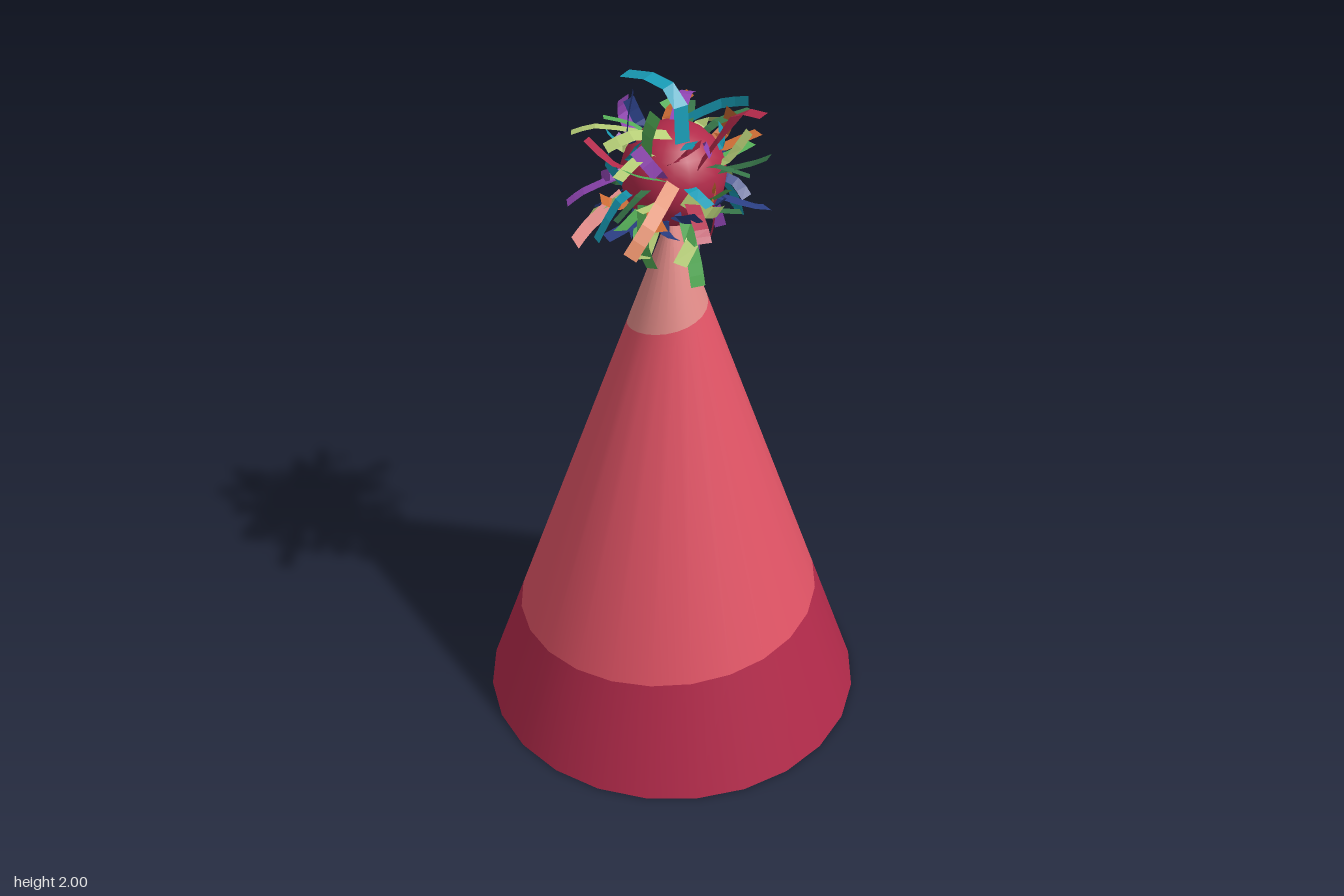
import * as THREE from 'three';

const SIDES = 24, RADIUS = 0.547, APEX = 1.63, INNER = 0.51, INNER_APEX = 1.525;
const SEAM = Math.PI / 12; // spiral seam, just beside the back
const BALL = new THREE.Vector3(0.005, 1.73, 0), BALL_R = 0.138;

function makeMaterials() {
  const colors = {
    crimson: 0xb22a4a, coral: 0xe05365, blush: 0xe28b88, teal: 0x189cb6, green: 0x56b058,
    darkGreen: 0x38784a, lime: 0xb8d078, orange: 0xcc6c34, purple: 0x9346b6, navy: 0x2b3f84,
  };
  const mats = {};
  for (const [name, color] of Object.entries(colors)) {
    mats[name] = new THREE.MeshStandardMaterial({ color, side: THREE.DoubleSide });
    mats[name].name = name;
  }
  return mats;
}

// Cone band between two spiral heights given as functions of the turn t (0..1)
function bandGeometry(radius, apex, low, high, inward) {
  const pos = [], nor = [], idx = [];
  const len = Math.hypot(apex, radius), s = inward ? -1 : 1;
  for (let i = 0; i <= SIDES; i++) {
    const t = i / SIDES, a = SEAM + t * Math.PI * 2;
    const x = -Math.sin(a), z = -Math.cos(a);
    for (const y of [low(t), high(t)]) {
      const r = radius * (1 - y / apex);
      pos.push(x * r, y, z * r);
      nor.push(s * x * apex / len, s * radius / len, s * z * apex / len);
    }
    if (i < SIDES) {
      const k = i * 2;
      if (inward) idx.push(k, k + 3, k + 2, k, k + 1, k + 3);
      else idx.push(k, k + 2, k + 3, k, k + 3, k + 1);
    }
  }
  const g = new THREE.BufferGeometry();
  g.setAttribute('position', new THREE.Float32BufferAttribute(pos, 3));
  g.setAttribute('normal', new THREE.Float32BufferAttribute(nor, 3));
  g.setIndex(idx);
  return g;
}

// Flat strip following a bent path; strips standing off the ball lie level, others hug it
function ribbonGeometry(points, width, twist) {
  const curve = new THREE.CatmullRomCurve3(points);
  const chord = points[points.length - 1].clone().sub(points[0]).normalize();
  const standing = Math.abs(points[0].clone().sub(BALL).normalize().dot(chord)) > 0.7 && Math.abs(chord.y) < 0.85;
  const n = 4, pos = [], idx = [], last = new THREE.Vector3();
  for (let i = 0; i <= n; i++) {
    const p = curve.getPoint(i / n), tan = curve.getTangent(i / n);
    const ref = standing ? new THREE.Vector3(0, 1, 0) : p.clone().sub(BALL).normalize();
    if (Math.abs(ref.dot(tan)) > 0.95) ref.set(0.5, 0.1, 0.85);
    const side = new THREE.Vector3().crossVectors(tan, ref).normalize()
      .applyAxisAngle(tan, twist).multiplyScalar(width / 2);
    if (last.dot(side) < 0) side.negate(); // keeps the strip from flipping
    last.copy(side);
    pos.push(p.x - side.x, p.y - side.y, p.z - side.z, p.x + side.x, p.y + side.y, p.z + side.z);
    if (i < n) idx.push(i * 2, i * 2 + 1, i * 2 + 3, i * 2, i * 2 + 3, i * 2 + 2);
  }
  const g = new THREE.BufferGeometry();
  g.setAttribute('position', new THREE.Float32BufferAttribute(pos, 3));
  g.setIndex(idx);
  const flat = g.toNonIndexed();
  flat.computeVertexNormals();
  return flat;
}

export function createModel() {
  const model = new THREE.Group();
  model.name = 'partyHat';
  const mats = makeMaterials();
  const add = (parent, name, geometry, material) => {
    const mesh = new THREE.Mesh(geometry, material);
    mesh.name = name;
    parent.add(mesh);
    return mesh;
  };

  // Hollow cone with three spiral colour bands
  const lower = t => 0.235 + 0.165 * t, upper = t => 1.21 + 0.155 * t;
  for (const [prefix, r, apex, inward] of [['outer', RADIUS, APEX, false], ['inner', INNER, INNER_APEX, true]]) {
    const cone = new THREE.Group();
    cone.name = prefix + 'Cone';
    model.add(cone);
    add(cone, prefix + 'LowerBand', bandGeometry(r, apex, () => 0, lower, inward), mats.crimson);
    add(cone, prefix + 'MiddleBand', bandGeometry(r, apex, lower, upper, inward), mats.coral);
    add(cone, prefix + 'TipBand', bandGeometry(r, apex, upper, () => apex, inward), mats.blush);
  }
  add(model, 'rim', new THREE.RingGeometry(INNER, RADIUS, SIDES).rotateX(Math.PI / 2), mats.crimson);

  // Pompom ball
  add(model, 'pompomBall', new THREE.SphereGeometry(BALL_R, 20, 14), mats.crimson).position.copy(BALL);

  // Long ribbons: colour, root and tip
  const ribbons = new THREE.Group();
  ribbons.name = 'ribbons';
  model.add(ribbons);
  const long = [
    ['lime', 0.03, 1.86, 0.03, -0.01, 1.86, 0.20],
    ['lime', -0.06, 1.84, 0.06, -0.16, 1.84, 0.20],
    ['blush', -0.08, 1.66, 0.10, -0.04, 1.60, 0.28],
    ['orange', 0.11, 1.77, 0.08, 0.17, 1.65, 0.26],
    ['green', 0.09, 1.78, 0.10, 0.13, 1.87, 0.24],
    ['crimson', 0.13, 1.72, 0.04, 0.24, 1.66, 0.08],
    ['darkGreen', 0.11, 1.76, -0.06, 0.23, 1.83, -0.13],
    ['orange', -0.03, 1.72, -0.13, -0.03, 1.73, -0.31],
    ['teal', -0.11, 1.79, -0.12, -0.05, 1.82, -0.29],
    ['purple', -0.02, 1.86, -0.03, -0.10, 1.88, -0.13],
    ['darkGreen', -0.08, 1.78, -0.10, -0.18, 1.80, -0.19],
    ['purple', -0.08, 1.72, 0.10, -0.16, 1.64, 0.22],
    ['green', 0.04, 1.80, 0.11, 0.09, 1.97, 0.12],
    ['purple', 0.02, 1.62, -0.05, 0.05, 1.47, -0.03],
    ['green', 0.11, 1.66, 0.04, 0.19, 1.50, 0.06],
    ['navy', -0.09, 1.64, 0.04, -0.13, 1.49, 0.03],
    ['teal', 0.00, 1.70, -0.13, 0.02, 1.54, -0.21],
    ['green', 0.05, 1.70, 0.13, 0.10, 1.54, 0.14],
    ['lime', 0.13, 1.73, 0.06, 0.14, 1.66, -0.05],
    ['teal', -0.02, 1.74, 0.14, -0.12, 1.79, 0.10],
    ['navy', -0.10, 1.66, 0.08, -0.18, 1.58, 0.10],
    ['navy', 0.12, 1.70, -0.05, 0.17, 1.64, -0.18],
    ['purple', -0.12, 1.76, 0.02, -0.14, 1.90, 0.05],
  ];
  for (const [color, x0, y0, z0, x1, y1, z1] of long) {
    const a = new THREE.Vector3(x0, y0, z0), b = new THREE.Vector3(x1, y1, z1);
    const bend = a.clone().lerp(b, 0.5);
    bend.add(bend.clone().sub(BALL).normalize().multiplyScalar(0.03));
    add(ribbons, 'longRibbon', ribbonGeometry([a, bend, b], 0.038, 0), mats[color]);
  }
  // Topmost ribbon folded to one side, and a hooked one beside it
  const path = (...list) => list.map(p => new THREE.Vector3(...p));
  add(ribbons, 'topRibbon', ribbonGeometry(
    path([0.07, 1.85, 0.02], [0.05, 1.97, 0.02], [-0.02, 1.998, 0.035], [-0.12, 1.98, 0.06]), 0.04, 0), mats.teal);
  add(ribbons, 'hookedRibbon', ribbonGeometry(
    path([0.12, 1.80, 0.01], [0.16, 1.90, -0.04], [0.18, 1.95, -0.08], [0.24, 1.96, -0.10]), 0.038, 0), mats.crimson);

  // Short curled ribbons all around the ball
  let seed = 7;
  const rand = () => (seed = (seed * 16807) % 2147483647) / 2147483647;
  const palette = ['teal', 'green', 'darkGreen', 'lime', 'orange', 'purple', 'navy', 'lime', 'crimson', 'navy', 'teal'];
  const count = 60;
  for (let i = 0; i < count; i++) {
    const h = 0.82 - 1.7 * (i + 0.5) / count, a = i * 2.39996 + rand() * 0.3;
    const s = Math.sqrt(1 - h * h);
    const dir = new THREE.Vector3(s * Math.cos(a), h, s * Math.sin(a));
    const drift = new THREE.Vector3(rand() - 0.5, rand() - 0.5, rand() - 0.5).cross(dir).normalize();
    const reach = 0.18 + rand() * 0.065;
    const at = (r, d) => {
      const p = dir.clone().multiplyScalar(r).addScaledVector(drift, d);
      p.x *= 0.87;
      return p.add(BALL);
    };
    const curl = 0.05 + rand() * 0.07;
    const curled = [at(0.125, 0), at(0.17, 0.015), at(reach, curl)];
    add(ribbons, 'shortRibbon', ribbonGeometry(curled, 0.028 + rand() * 0.01, rand() * 0.8 - 0.4),
      mats[palette[i % palette.length]]);
  }
  return model;
}
